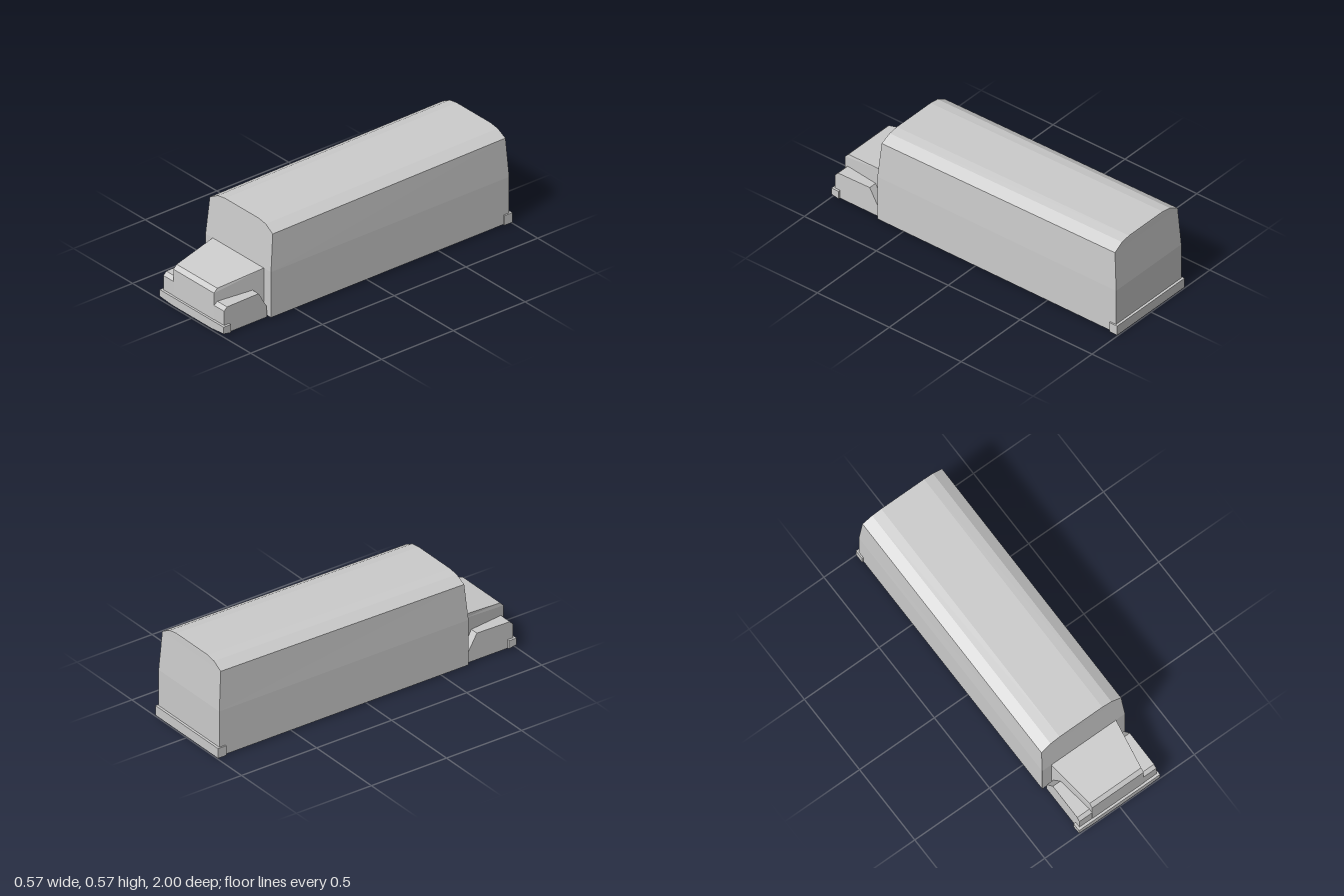
import * as THREE from 'three';

const material = new THREE.MeshStandardMaterial({ color: 0xcccccc, flatShading: true });

// Mirrored solid between a front and a back outline; each lists [x, y, z] of the +x half, bottom to top.
function mirroredSolid(name, frontHalf, backHalf) {
  const ring = (half) => [...half, ...half.map(([x, y, z]) => [-x, y, z]).reverse()];
  const front = ring(frontHalf), back = ring(backHalf);
  const n = front.length;
  const positions = [];
  const quad = (a, b, c, d) => positions.push(...a, ...b, ...c, ...a, ...c, ...d);
  for (let i = 0; i < n; i++) {
    const j = (i + 1) % n;
    quad(front[i], back[i], back[j], front[j]);
  }
  // End faces, row by row from the bottom up
  for (let i = 0; i < n / 2 - 1; i++) {
    const l = n - 1 - i;
    quad(front[l], front[i], front[i + 1], front[l - 1]);
    quad(back[i], back[l], back[l - 1], back[i + 1]);
  }
  const geometry = new THREE.BufferGeometry();
  geometry.setAttribute('position', new THREE.Float32BufferAttribute(positions, 3));
  geometry.computeVertexNormals();
  const mesh = new THREE.Mesh(geometry, material);
  mesh.name = name;
  return mesh;
}

// Fender: side profile in (z, y), extruded across x
function fender(name, side) {
  const profile = [[0.685, 0.01], [0.985, 0.01], [0.985, 0.15], [0.965, 0.17], [0.745, 0.174], [0.69, 0.08]];
  const inner = 0.165, outer = 0.257;
  const shape = new THREE.Shape(profile.map(([z, y]) => new THREE.Vector2(-z, y)));
  const geometry = new THREE.ExtrudeGeometry(shape, { depth: outer - inner, bevelEnabled: false });
  geometry.rotateY(Math.PI / 2);
  geometry.translate(side > 0 ? inner : -outer, 0, 0);
  const mesh = new THREE.Mesh(geometry, material);
  mesh.name = name;
  return mesh;
}

export function createModel() {
  const group = new THREE.Group();
  group.name = 'van';

  // Long box body with faceted roof, rising slightly to the rear
  group.add(mirroredSolid('body',
    [[0.277, 0.01, 0.675], [0.277, 0.29, 0.675], [0.266, 0.513, 0.654], [0.203, 0.547, 0.651], [0.143, 0.556, 0.65]],
    [[0.277, 0.01, -0.985], [0.277, 0.29, -0.985], [0.266, 0.529, -0.968], [0.203, 0.563, -0.966], [0.143, 0.573, -0.965]]));

  // Tapered hood with a bevelled nose
  group.add(mirroredSolid('hood',
    [[0.172, 0.01, 0.987], [0.172, 0.225, 0.985], [0.172, 0.248, 0.963]],
    [[0.217, 0.01, 0.67], [0.217, 0.265, 0.67], [0.217, 0.29, 0.67]]));

  group.add(fender('leftFender', 1), fender('rightFender', -1));

  // Front bumper, its underside dropping towards the middle
  group.add(mirroredSolid('frontBumper',
    [[0.17, 0.012, 1], [0.271, 0.022, 1], [0.271, 0.063, 1]],
    [[0.17, 0.002, 0.95], [0.271, 0.013, 0.95], [0.271, 0.063, 0.95]]));

  // Rear bumper wrapping the body corners
  const rearBumper = new THREE.Mesh(new THREE.BoxGeometry(0.572, 0.06, 0.055), material);
  rearBumper.name = 'rearBumper';
  rearBumper.position.set(0, 0.038, -0.9725);
  group.add(rearBumper);

  return group;
}
